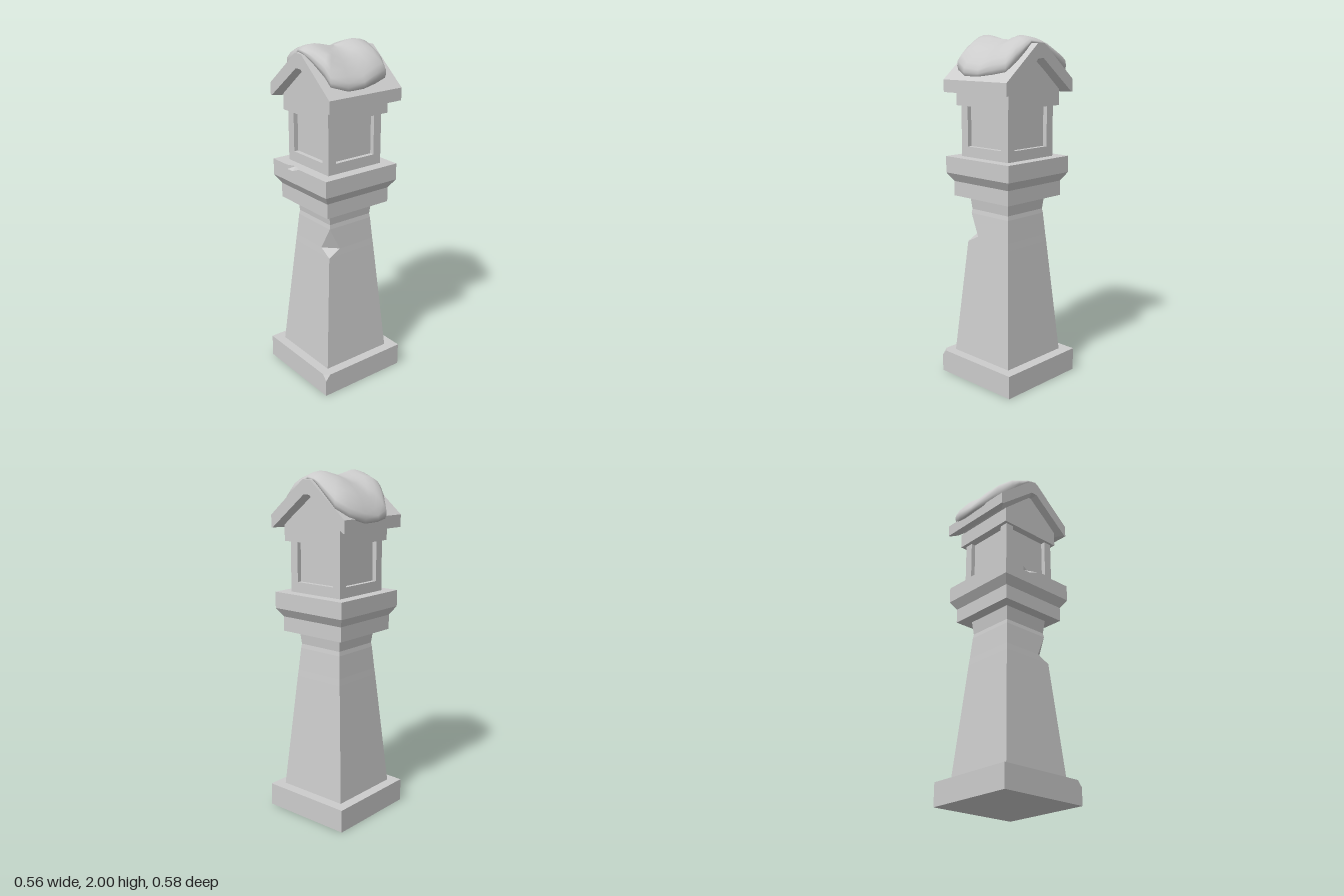
import * as THREE from 'three';

const stone = new THREE.MeshStandardMaterial({ color: 0xcccccc, flatShading: true });
const soft = new THREE.MeshStandardMaterial({ color: 0xcccccc, side: THREE.DoubleSide });

// Places a cross-section point (u, v) at station t along the y or x axis
const alongY = (u, v, t) => [u, t, v];
const alongX = (u, v, t) => [t, v, u];

// Closed solid through a list of [station, clockwise points] sections
function loft(name, sections, place) {
  const pos = [];
  const corner = (s, i) => {
    const [t, pts] = sections[s];
    const [u, v] = pts[i % pts.length];
    pos.push(...place(u, v, t));
  };
  const n = sections[0][1].length;
  const last = sections.length - 1;
  for (let s = 0; s < last; s++) {
    for (let i = 0; i < n; i++) {
      corner(s, i); corner(s, i + 1); corner(s + 1, i + 1);
      corner(s, i); corner(s + 1, i + 1); corner(s + 1, i);
    }
  }
  const cap = (s) => THREE.ShapeUtils.triangulateShape(
    sections[s][1].map(([u, v]) => new THREE.Vector2(u, v)), []);
  for (const [a, b, c] of cap(0)) { corner(0, a); corner(0, b); corner(0, c); }
  for (const [a, b, c] of cap(last)) { corner(last, c); corner(last, b); corner(last, a); }
  const geo = new THREE.BufferGeometry();
  geo.setAttribute('position', new THREE.Float32BufferAttribute(pos, 3));
  geo.computeVertexNormals();
  const mesh = new THREE.Mesh(geo, stone);
  mesh.name = name;
  return mesh;
}

// Square section with its front right corner chipped by cut
const chippedCorner = (h, cut = 0) =>
  [[-h, -h], [-h, h - cut], [-h + cut, h], [h, h], [h, -h]];
// Square section with a nick in its right edge
const nickedEdge = (h, cut = 0) =>
  [[-h, -h], [-h, -0.11], [-h + cut, -0.06], [-h, 0.0], [-h, h], [h, h], [h, -h]];

function box(name, w, y0, y1, x = 0, z = 0) {
  const mesh = new THREE.Mesh(new THREE.BoxGeometry(w, y1 - y0, w), stone);
  mesh.position.set(x, (y0 + y1) / 2, z);
  mesh.name = name;
  return mesh;
}

// Lantern housing: recessed core, sill and four corner posts
function lantern() {
  const g = new THREE.Group();
  g.name = 'lanternHousing';
  g.add(box('windowPanels', 0.312, 1.32, 1.615));
  g.add(box('windowSill', 0.366, 1.32, 1.38));
  for (const x of [-1, 1]) {
    for (const z of [-1, 1]) g.add(box('cornerPost', 0.051, 1.38, 1.615, x * 0.1575, z * 0.1575));
  }
  return g;
}

// Roof chevron in (z, y), with its underside lowered by drop
const chevron = (drop) => [
  [-0.268, 1.685], [-0.268, 1.755], [-0.026, 1.955], [0.026, 1.955], [0.268, 1.755], [0.268, 1.685],
  [0.258 - drop, 1.685], [0.02 - drop * 0.5, 1.875 - drop * 0.5],
  [-0.02 + drop * 0.5, 1.875 - drop * 0.5], [-0.258 + drop, 1.685]];

// Linear interpolation through [z, y] points
function profile(points, z) {
  let i = 0;
  while (i < points.length - 2 && z > points[i + 1][0]) i++;
  const [[z0, y0], [z1, y1]] = [points[i], points[i + 1]];
  return y0 + (y1 - y0) * (z - z0) / (z1 - z0);
}

// Soft blanket draped over the ridge
function blanket() {
  const outline = [
    [-0.09, -0.275], [0, -0.29], [0.11, -0.29], [0.2, -0.25], [0.25, -0.195], [0.235, -0.08],
    [0.23, -0.03], [0.205, 0.04], [0.21, 0.09], [0.205, 0.16], [0.185, 0.22], [0.1, 0.24],
    [0.01, 0.255], [-0.1, 0.255], [-0.19, 0.22], [-0.19, 0.17], [-0.21, 0.09], [-0.235, 0.03],
    [-0.222, -0.02], [-0.205, -0.08], [-0.21, -0.14], [-0.15, -0.21]];
  const top = [[-0.29, 1.79], [-0.215, 1.878], [-0.1, 1.952], [0.015, 1.988], [0.14, 1.942], [0.255, 1.84]];
  const roof = [[-0.259, 1.755], [-0.017, 1.955], [0.035, 1.955], [0.277, 1.755]];
  // [scale of outline, how far from the top surface down to the roof]
  const rings = [[0.001, 0], [0.2, 0], [0.4, 0], [0.6, 0], [0.78, 0], [0.92, 0.1],
    [0.99, 0.32], [1, 0.65], [0.97, 1.1], [0.8, 1.3]];
  const n = outline.length;
  const pos = [], index = [];
  rings.forEach(([s, f], r) => {
    outline.forEach(([x0, z0], i) => {
      const x = x0 * s, z = z0 * s;
      const yTop = profile(top, z) + 0.012 * Math.cos((x + 0.16) * 22);
      pos.push(x, yTop + (profile(roof, z) - yTop) * f, z);
      if (r === 0) return;
      const j = (i + 1) % n, a = (r - 1) * n, b = r * n;
      index.push(a + i, b + j, b + i, a + i, a + j, b + j);
    });
  });
  const geo = new THREE.BufferGeometry();
  geo.setAttribute('position', new THREE.Float32BufferAttribute(pos, 3));
  geo.setIndex(index);
  geo.computeVertexNormals();
  const mesh = new THREE.Mesh(geo, soft);
  mesh.name = 'roofBlanket';
  return mesh;
}

export function createModel() {
  const model = new THREE.Group();
  model.name = 'stoneLantern';

  // Plinth with a chipped top corner
  const plinth = loft('plinth', [
    [0, chippedCorner(0.28)], [0.1, chippedCorner(0.28)], [0.135, chippedCorner(0.28, 0.03)]], alongY);
  plinth.position.z = 0.01;

  // Everything above the plinth sits very slightly off its axis
  const upper = new THREE.Group();
  upper.name = 'column';
  upper.position.set(-0.004, 0, 0.012);

  // Tapered shaft with a notch broken out of one edge
  upper.add(loft('shaft', [
    [0.135, chippedCorner(0.221)], [0.815, chippedCorner(0.162)], [0.855, chippedCorner(0.158, 0.075)],
    [0.985, chippedCorner(0.147)], [1.01, chippedCorner(0.143)], [1.09, chippedCorner(0.152)]], alongY));

  // Flared platform
  upper.add(loft('platform', [
    [1.09, nickedEdge(0.216)], [1.175, nickedEdge(0.216)], [1.225, nickedEdge(0.248)],
    [1.295, nickedEdge(0.248)], [1.32, nickedEdge(0.248, 0.025)]], alongY));

  upper.add(lantern());

  // Gable block carrying the roof
  const gable = [[-0.204, 1.61], [-0.204, 1.7], [0, 1.872], [0.204, 1.7], [0.204, 1.61]];
  const gableBlock = loft('gableBlock', [[-0.204, gable], [0.204, gable]], alongX);
  gableBlock.position.x = 0.005;
  upper.add(gableBlock);

  // Pitched roof, its underside bevelled at both gable ends
  const roof = loft('roof', [
    [-0.245, chevron(0)], [-0.2, chevron(0.03)], [0.2, chevron(0.03)], [0.245, chevron(0)]], alongX);
  roof.position.set(0.007, 0, -0.003);
  upper.add(roof);

  model.add(plinth, upper, blanket());
  return model;
}
